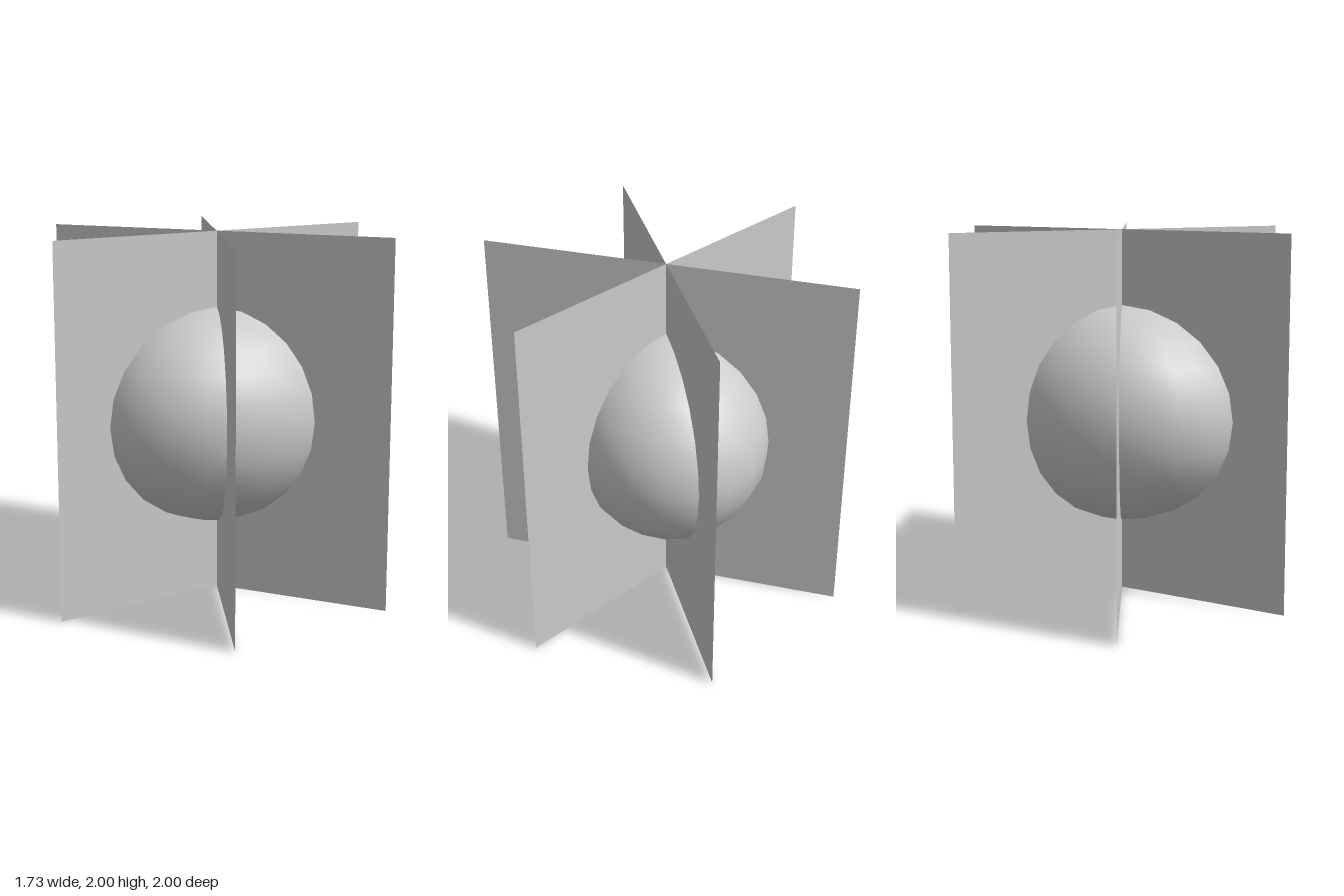
import * as THREE from 'three';

export function createModel() {
  const group = new THREE.Group();
  const solid = new THREE.MeshStandardMaterial({ color: 0xcccccc });
  const sheet = new THREE.MeshStandardMaterial({ color: 0xcccccc, side: THREE.DoubleSide });

  // Three upright sheets crossing on the vertical axis, 60 degrees apart
  const sheetGeometry = new THREE.PlaneGeometry(2, 2);
  for (let i = 0; i < 3; i++) {
    const panel = new THREE.Mesh(sheetGeometry, sheet);
    panel.name = `crossedPanel${i + 1}`;
    panel.position.y = 1;
    panel.rotation.y = Math.PI / 6 + (i * Math.PI) / 3;
    group.add(panel);
  }

  // Smooth egg-shaped core, longest from front to back
  const core = new THREE.Mesh(new THREE.SphereGeometry(1, 20, 12).scale(0.56, 0.59, 0.684), solid);
  core.name = 'core';
  core.position.y = 1;
  group.add(core);

  return group;
}
